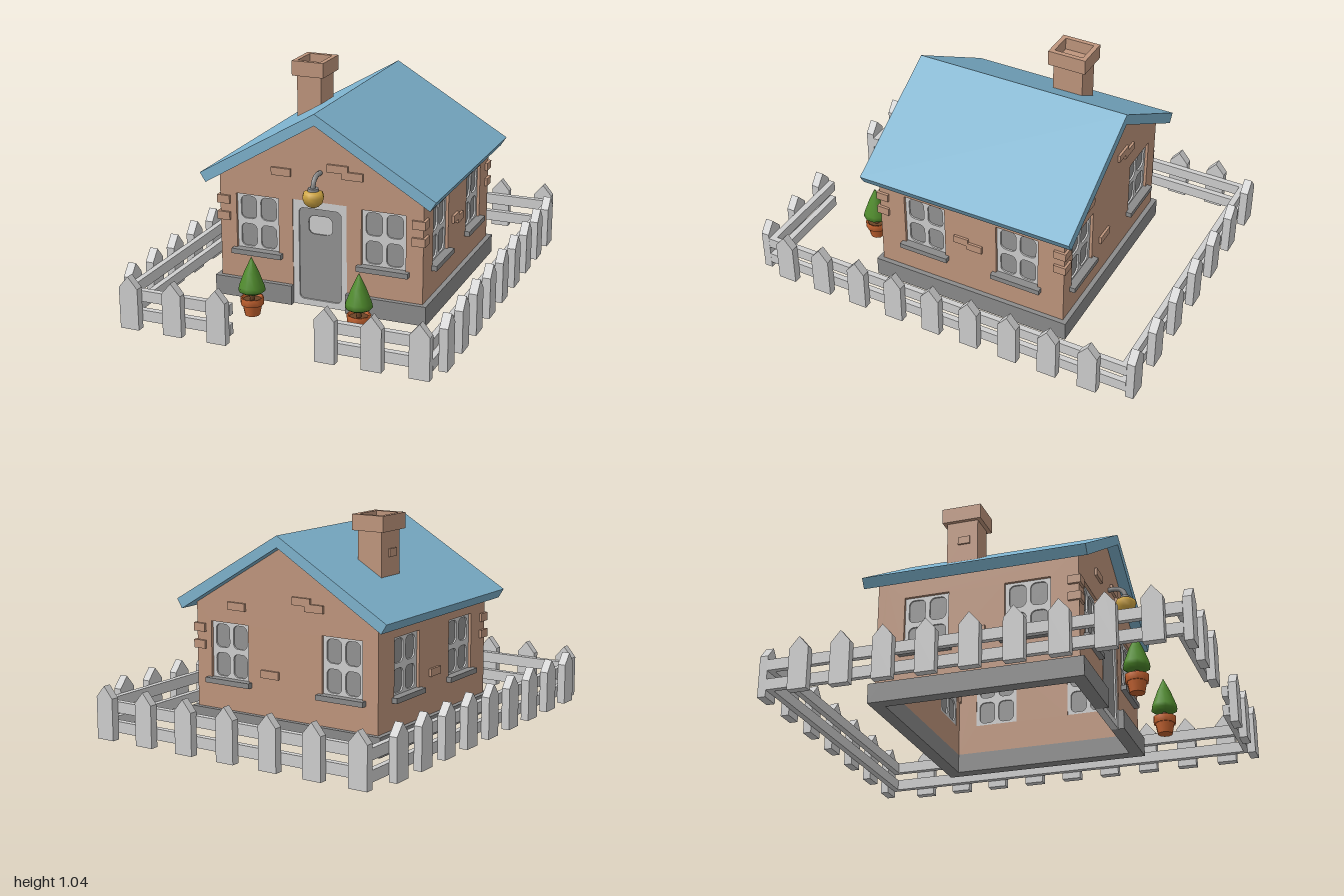
import * as THREE from 'three';

const mat = (name, color, side = THREE.FrontSide) => {
  const m = new THREE.MeshStandardMaterial({ color, side });
  m.name = name;
  return m;
};
const M = {
  wall: mat('clay wall', 0xbf967d),
  roof: mat('blue roof', 0x7db2cd),
  light: mat('pale paint', 0xcfcfcf),
  grey: mat('mid grey', 0x939393),
  stone: mat('stone grey', 0x8b8b8b),
  gold: mat('gold', 0xd0a644, THREE.DoubleSide),
  green: mat('leaf green', 0x4f8a2c),
  pot: mat('terracotta', 0xc4622f, THREE.DoubleSide),
  bark: mat('bark brown', 0x6b4426),
};

function add(parent, name, geo, material, x = 0, y = 0, z = 0) {
  const m = new THREE.Mesh(geo, material);
  m.name = name;
  m.position.set(x, y, z);
  parent.add(m);
  return m;
}
const box = (parent, name, w, h, d, material, x, y, z) =>
  add(parent, name, new THREE.BoxGeometry(w, h, d), material, x, y, z);
const poly = (pts) => new THREE.Shape(pts.map((p) => new THREE.Vector2(p[0], p[1])));
const rect = (x, y, w, h) => poly([
  [x - w / 2, y - h / 2], [x + w / 2, y - h / 2], [x + w / 2, y + h / 2], [x - w / 2, y + h / 2]]);
function roundRect(x, y, w, h, r) {
  const s = new THREE.Shape(), a = w / 2 - r, b = h / 2 - r;
  s.absarc(x + a, y + b, r, 0, Math.PI / 2);
  s.absarc(x - a, y + b, r, Math.PI / 2, Math.PI);
  s.absarc(x - a, y - b, r, Math.PI, Math.PI * 1.5);
  s.absarc(x + a, y - b, r, Math.PI * 1.5, Math.PI * 2);
  s.closePath();
  return s;
}
function extrude(shape, depth, holes = []) {
  shape.holes.push(...holes);
  return new THREE.ExtrudeGeometry(shape, { depth, bevelEnabled: false, curveSegments: 5 });
}

// House half sizes, wall thickness, foundation height
const W = 0.51, D = 0.488, T = 0.04, BASE = 0.095;
const WIN = { w: 0.218, h: 0.275, y: 0.378 };

// Four-pane window set in a wall whose outer face is local z = 0
function addWindow(wall, x) {
  const g = new THREE.Group();
  g.name = 'window';
  g.position.set(x, WIN.y, 0);
  const panes = [];
  for (const sx of [-1, 1]) for (const sy of [-1, 1])
    panes.push(roundRect(sx * 0.051, sy * 0.069, 0.08, 0.112, 0.026));
  add(g, 'windowFrame', extrude(rect(0, 0, WIN.w, WIN.h), 0.024, panes), M.light, 0, 0, -0.038);
  box(g, 'windowGlass', WIN.w - 0.01, WIN.h - 0.01, 0.008, M.grey, 0, 0, -0.026);
  box(g, 'windowSill', 0.255, 0.025, 0.05, M.stone, 0, -0.146, 0.002);
  wall.add(g);
}

// Wall panel with window holes and scattered raised bricks
function addWall(house, name, angle, dist, outline, windows, bricks) {
  const g = new THREE.Group();
  g.name = name;
  g.rotation.y = angle;
  g.position.set(Math.sin(angle) * dist, 0, Math.cos(angle) * dist);
  const holes = windows.map((x) => rect(x, WIN.y, WIN.w, WIN.h));
  add(g, 'wallPanel', extrude(poly(outline), T, holes), M.wall, 0, 0, -T);
  windows.forEach((x) => addWindow(g, x));
  bricks.forEach(([x, y, w]) => box(g, 'brick', w, 0.037, 0.03, M.wall, x, y, -0.003));
  house.add(g);
  return g;
}

function addDoor(wall) {
  const z = -0.04;
  add(wall, 'doorFrame', extrude(rect(0, 0.2615, 0.272, 0.523), 0.035,
    [roundRect(0, 0.258, 0.212, 0.455, 0.025)]), M.light, 0, 0, z);
  add(wall, 'door', extrude(roundRect(0, 0.258, 0.212, 0.455, 0.025), 0.02,
    [roundRect(0, 0.405, 0.12, 0.09, 0.03)]), M.grey, 0, 0, z + 0.007);
  add(wall, 'doorPane', extrude(roundRect(0, 0.405, 0.12, 0.09, 0.03), 0.008), M.light, 0, 0, z + 0.013);
}

function buildHouse() {
  const h = new THREE.Group();
  h.name = 'house';
  h.position.set(0.004, 0, -0.048);

  // Walls: two gables and two long sides
  const top = [[W, 0.6], [0, 0.908], [-W, 0.6]];
  const dw = 0.136, dh = 0.523;
  const front = addWall(h, 'frontWall', 0, D,
    [[-W, BASE], [-dw, BASE], [-dw, dh], [dw, dh], [dw, BASE], [W, BASE], ...top],
    [-0.317, 0.317], [[-0.19, 0.651, 0.097], [0.094, 0.697, 0.104], [0.167, 0.67, 0.102]]);
  addDoor(front);
  addWall(h, 'backWall', Math.PI, D, [[-W, BASE], [W, BASE], ...top],
    [-0.317, 0.317], [[-0.27, 0.6, 0.1], [0.1, 0.66, 0.1], [0.17, 0.635, 0.1], [-0.08, 0.297, 0.1]]);
  const S = D - T;
  const side = [[-S, BASE], [S, BASE], [S, 0.605], [-S, 0.605]];
  addWall(h, 'leftWall', Math.PI / 2, W, side, [-0.245, 0.245], [[-0.045, 0.373, 0.075], [0.025, 0.353, 0.08]]);
  addWall(h, 'rightWall', -Math.PI / 2, W, side, [-0.245, 0.245], [[0, 0.297, 0.09]]);

  // Corner bricks
  for (const [sx, sz] of [[-1, 1], [1, 1], [1, -1]])
    for (const y of [0.48, 0.398])
      box(h, 'cornerBrick', 0.065, 0.04, 0.062, M.wall, sx * (W - 0.02), y, sz * (D - 0.019));

  // Foundation ring, open at the doorway
  const o = 0.024, bt = T + o, len = W + o - dw;
  for (const s of [-1, 1]) {
    box(h, 'foundationSide', bt, BASE, 2 * (D + o - bt), M.stone, s * (W + o - bt / 2), BASE / 2, 0);
    box(h, 'foundationFront', len, BASE, bt, M.stone, s * (dw + len / 2), BASE / 2, D + o - bt / 2);
  }
  box(h, 'foundationBack', 2 * (W + o), BASE, bt, M.stone, 0, BASE / 2, -(D + o - bt / 2));

  // Roof
  add(h, 'roof', extrude(poly([[-0.586, 0.615], [-0.558, 0.57], [0, 0.905], [0.558, 0.57],
    [0.586, 0.615], [0, 0.96]]), 1.086), M.roof, 0, 0, -0.543);

  // Chimney with a hollow cap
  const c = new THREE.Group();
  c.name = 'chimney';
  c.position.set(-0.287, 0, -0.135);
  box(c, 'chimneyShaft', 0.128, 0.23, 0.155, M.wall, 0, 0.865, 0);
  const cap = add(c, 'chimneyCap', extrude(rect(0, 0, 0.167, 0.195), 0.075,
    [rect(0, 0, 0.12, 0.148)]), M.wall, 0, 0.965, 0);
  cap.rotation.x = -Math.PI / 2;
  box(c, 'brick', 0.02, 0.038, 0.06, M.wall, -0.063, 0.862, 0.01);
  h.add(c);
  return h;
}

function buildLamp() {
  const g = new THREE.Group();
  g.name = 'lamp';
  g.position.set(0.01, 0, 0.523);
  const profile = [[0, 0.53], [0.026, 0.534], [0.045, 0.553], [0.053, 0.58], [0.046, 0.6], [0.026, 0.608], [0, 0.608]];
  add(g, 'lampShade', new THREE.LatheGeometry(profile.map((p) => new THREE.Vector2(...p)), 8), M.gold);
  add(g, 'lampCollar', new THREE.CylinderGeometry(0.026, 0.028, 0.014, 8), M.stone, 0, 0.613, 0);
  const path = new THREE.CatmullRomCurve3([[0, 0.61, 0], [0, 0.638, -0.003], [0, 0.66, -0.02],
    [0, 0.668, -0.045], [0, 0.668, -0.09]].map((p) => new THREE.Vector3(...p)));
  add(g, 'lampArm', new THREE.TubeGeometry(path, 12, 0.012, 8), M.stone);
  return g;
}

function buildPlant(x) {
  const g = new THREE.Group();
  g.name = 'pottedTree';
  g.position.set(x, 0, 0.63);
  const lathe = (pts, n) => new THREE.LatheGeometry(pts.map((p) => new THREE.Vector2(...p)), n);
  add(g, 'foliage', lathe([[0, 0.108], [0.045, 0.11], [0.064, 0.122], [0.06, 0.145], [0.034, 0.215], [0, 0.287]], 10), M.green);
  add(g, 'trunk', new THREE.CylinderGeometry(0.012, 0.012, 0.07, 8), M.bark, 0, 0.085, 0);
  add(g, 'potBody', new THREE.CylinderGeometry(0.047, 0.036, 0.055, 10), M.pot, 0, 0.0275, 0);
  add(g, 'potRim', lathe([[0.046, 0.052], [0.054, 0.052], [0.056, 0.086], [0.046, 0.086], [0.045, 0.07]], 10), M.pot);
  add(g, 'soil', new THREE.CylinderGeometry(0.047, 0.047, 0.006, 10), M.bark, 0, 0.071, 0);
  return g;
}

function buildFence() {
  const g = new THREE.Group();
  g.name = 'fence';
  const picketGeo = extrude(poly([[-0.047, 0], [0.047, 0], [0.047, 0.2], [0, 0.256], [-0.047, 0.2]]), 0.04);
  picketGeo.translate(0, 0, -0.02);
  const picket = (x, z, turned) => {
    add(g, 'picket', picketGeo, M.light, x, 0, z).rotation.y = turned ? Math.PI / 2 : 0;
  };
  for (let i = 0; i < 9; i++)
    for (const x of [-0.768, 0.764]) picket(x, 0.833 - i * 0.2025, true);
  for (let i = 0; i < 7; i++) picket(-0.7 + i * 0.2325, -0.98, false);
  for (const x of [-0.7, -0.482, -0.261, 0.261, 0.478, 0.696]) picket(x, 0.974, false);
  // Two rails along every run
  for (const y of [0.059, 0.154]) {
    for (const x of [-0.734, 0.73]) box(g, 'sideRail', 0.028, 0.053, 1.914, M.light, x, y, -0.004);
    box(g, 'backRail', 1.436, 0.053, 0.03, M.light, -0.002, y, -0.946);
    for (const s of [-1, 1]) box(g, 'frontRail', 0.508, 0.053, 0.03, M.light, s * 0.464, y, 0.938);
  }
  return g;
}

export function createModel() {
  const model = new THREE.Group();
  model.name = 'cottage';
  model.add(buildHouse(), buildLamp(), buildPlant(-0.257), buildPlant(0.277), buildFence());
  return model;
}
